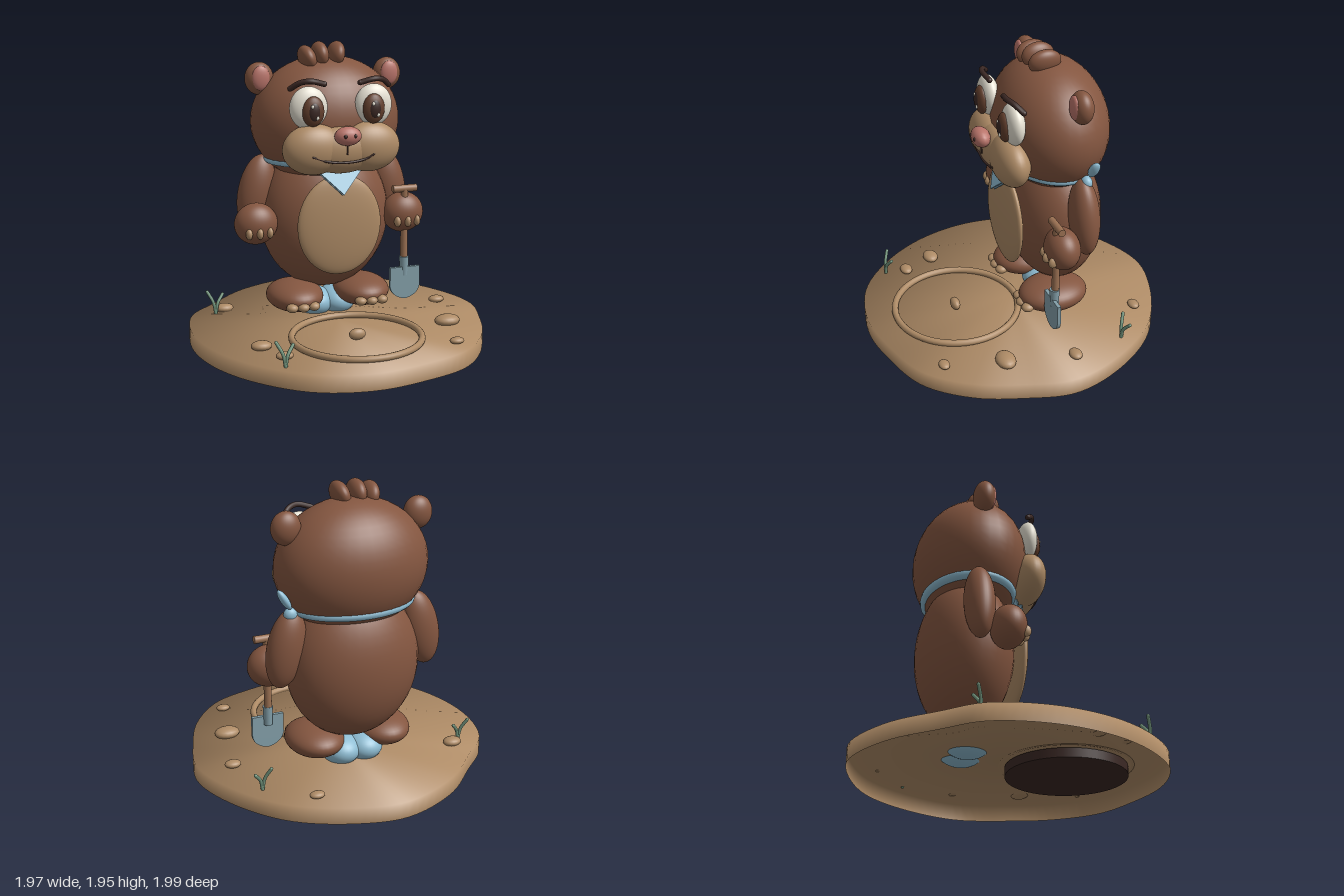
import * as THREE from 'three';

const paint = (name, color) => {
  const m = new THREE.MeshStandardMaterial({ color });
  m.name = name;
  return m;
};

export function createModel() {
  const fur = paint('brown fur', 0x845640);
  const tan = paint('sandy tan', 0xae8b66);
  const pink = paint('soft pink', 0xb9746a);
  const cream = paint('eye cream', 0xe6e1d3);
  const hazel = paint('iris brown', 0x633f2d);
  const dark = paint('dark brown', 0x3b2824);
  const blue = paint('cloth blue', 0x8fbdd3);
  const metal = paint('blade grey', 0x84a0aa);
  const green = paint('grass green', 0x74977f);
  const wood = paint('handle wood', 0x9a7052);
  tan.side = blue.side = THREE.DoubleSide;

  const model = new THREE.Group();
  model.name = 'bearOnMound';
  const ground = new THREE.Group();
  ground.name = 'ground';
  const bear = new THREE.Group();
  bear.name = 'bear';
  bear.position.x = -0.006;
  const shovel = new THREE.Group();
  shovel.name = 'shovel';
  model.add(ground, bear, shovel);

  const add = (parent, name, geometry, material, pos = [0, 0, 0], rot = [0, 0, 0]) => {
    const m = new THREE.Mesh(geometry, material);
    m.name = name;
    m.position.set(...pos);
    m.rotation.set(...rot);
    parent.add(m);
    return m;
  };
  const big = new THREE.SphereGeometry(1, 36, 24);
  const small = new THREE.SphereGeometry(1, 18, 12);
  const ball = (parent, name, material, pos, size, rot) => {
    const m = add(parent, name, Math.max(...size) > 0.1 ? big : small, material, pos, rot);
    m.scale.set(...size);
    return m;
  };
  const tube = (parent, name, material, points, r) => {
    const path = new THREE.CatmullRomCurve3(points.map(p => new THREE.Vector3(...p)));
    add(parent, name, new THREE.TubeGeometry(path, 20, r, 10), material);
    for (const p of [points[0], points[points.length - 1]]) ball(parent, name + 'End', material, p, [r, r, r]);
  };

  // Ground: irregular shell, open underneath, with a softly rounded rim
  const outline = new THREE.CatmullRomCurve3([
    [-0.07, -1], [0.24, -0.95], [0.62, -0.75], [0.88, -0.4], [0.985, -0.05], [0.91, 0.27],
    [0.79, 0.56], [0.56, 0.82], [0.24, 0.94], [-0.1, 0.99], [-0.45, 0.9], [-0.74, 0.64],
    [-0.92, 0.32], [-0.985, -0.05], [-0.91, -0.4], [-0.71, -0.61], [-0.45, -0.85],
  ].map(([x, z]) => new THREE.Vector3(x, 0, z)), true);
  const top = 0.11, n = 96;
  const pos = [0, top, 0], nor = [0, 1, 0], idx = [];
  for (let i = 0; i < n; i++) {
    const p = outline.getPoint(i / n), t = outline.getTangent(i / n);
    const out = [t.z, -t.x];
    pos.push(p.x, top, p.z, p.x, 0, p.z);
    nor.push(out[0] * 0.707, 0.707, out[1] * 0.707, out[0], 0, out[1]);
    const a = 1 + 2 * i, b = 1 + 2 * ((i + 1) % n);
    idx.push(0, b, a, a, b, b + 1, a, b + 1, a + 1);
  }
  const mound = new THREE.BufferGeometry();
  mound.setAttribute('position', new THREE.Float32BufferAttribute(pos, 3));
  mound.setAttribute('normal', new THREE.Float32BufferAttribute(nor, 3));
  mound.setIndex(idx);
  add(ground, 'mound', mound, tan);

  // Burrow: earth rim with a dark pit below the surface
  add(ground, 'burrowRim', new THREE.TorusGeometry(0.417, 0.022, 12, 64), tan, [-0.01, 0.128, 0.39], [Math.PI / 2, 0, 0]);
  add(ground, 'burrowPit', new THREE.CylinderGeometry(0.39, 0.39, 0.06, 48), dark, [-0.01, 0.07, 0.39]);

  // Pebbles: x, z, half width, half depth
  for (const [x, z, w, d] of [
    [-0.68, -0.43, 0.063, 0.05], [0.425, -0.73, 0.05, 0.037], [0.77, -0.145, 0.055, 0.042],
    [0.66, 0.295, 0.087, 0.065], [0.56, 0.675, 0.048, 0.036], [-0.635, 0.37, 0.068, 0.052],
    [-0.545, 0.58, 0.056, 0.042],
  ]) ball(ground, 'pebble', tan, [x, 0.13, z], [w, d * 0.6, d]);
  ball(ground, 'burrowPebble', tan, [-0.01, 0.145, 0.4], [0.056, 0.038, 0.032]);

  // Grass tufts
  for (const [x, z] of [[-0.75, -0.4], [0.7, -0.52], [-0.58, 0.705]]) {
    tube(ground, 'grassBlade', green, [[x, 0.11, z + 0.015], [x - 0.015, 0.19, z + 0.01], [x - 0.05, 0.26, z - 0.015]], 0.011);
    tube(ground, 'grassBlade', green, [[x, 0.11, z + 0.015], [x + 0.015, 0.18, z + 0.01], [x + 0.055, 0.235, z - 0.015]], 0.011);
  }

  // Body and head
  ball(bear, 'body', fur, [0, 0.78, -0.29], [0.445, 0.505, 0.31]);
  ball(bear, 'belly', tan, [0, 0.775, 0.035], [0.287, 0.335, 0.055]);
  ball(bear, 'head', fur, [0, 1.43, -0.265], [0.505, 0.425, 0.365]);
  ball(bear, 'muzzle', tan, [0, 1.285, 0.08], [0.26, 0.155, 0.11]);
  ball(bear, 'nose', pink, [0, 1.392, 0.2], [0.09, 0.062, 0.06]);
  tube(bear, 'philtrum', dark, [[0, 1.34, 0.195], [0, 1.31, 0.196], [0, 1.275, 0.194]], 0.006);
  tube(bear, 'mouth', dark, [[-0.225, 1.265, 0.183], [-0.12, 1.228, 0.176], [0, 1.217, 0.182], [0.12, 1.23, 0.176], [0.18, 1.262, 0.185]], 0.008);
  [[-0.14, 1.845, 0.3], [-0.055, 1.865, 0.05], [0.055, 1.865, -0.25]].forEach(([x, y, tilt]) =>
    ball(bear, 'hairTuft', fur, [x, y, -0.21], [0.055, 0.085, 0.108], [0, 0, tilt]));

  for (const s of [-1, 1]) {
    // Face
    ball(bear, 'cheek', tan, [s * 0.185, 1.295, 0.075], [0.21, 0.165, 0.117]);
    ball(bear, 'nostril', dark, [s * 0.033, 1.398, 0.253], [0.011, 0.013, 0.008]);
    ball(bear, 'eyeball', cream, [s * 0.218, 1.562, 0.065], [0.125, 0.137, 0.065]);
    ball(bear, 'iris', hazel, [s * 0.203, 1.545, 0.117], [0.074, 0.097, 0.042]);
    ball(bear, 'pupil', dark, [s * 0.203, 1.545, 0.142], [0.042, 0.062, 0.022]);
    ball(bear, 'glint', cream, [s * 0.203 + 0.018, 1.508, 0.156], [0.01, 0.014, 0.008]);
    ball(bear, 'glint', cream, [s * 0.203 - 0.015, 1.58, 0.156], [0.01, 0.013, 0.008]);
    tube(bear, 'brow', dark, [[s * 0.33, 1.685, 0.04], [s * 0.275, 1.725, 0.08], [s * 0.21, 1.735, 0.105], [s * 0.12, 1.712, 0.09]], 0.018);
    // Ears
    ball(bear, 'ear', fur, [s * 0.443, 1.715, -0.29], [0.096, 0.107, 0.07]);
    ball(bear, 'innerEar', pink, [s * 0.443, 1.722, -0.24], [0.06, 0.08, 0.026]);
    // Arms, hands and claws
    ball(bear, 'arm', fur, [s * 0.465, 0.95, -0.32], [0.125, 0.26, 0.097], [0, 0, s * 0.2]);
    ball(bear, 'hand', fur, [s * 0.515, 0.78, -0.15], [0.145, 0.138, 0.113]);
    for (const c of [-1, 0, 1])
      ball(bear, 'handClaw', tan, [s * 0.515 + c * 0.07, 0.735, -0.045 - Math.abs(c) * 0.012], [0.022, 0.037, 0.03]);
    // Feet and claws
    ball(bear, 'foot', fur, [s * 0.236, 0.248, -0.215], [0.19, 0.103, 0.235]);
    for (const c of [-1, 0, 1])
      ball(bear, 'footClaw', tan, [s * 0.24 + c * 0.075, 0.222, 0.008 - Math.abs(c) * 0.01], [0.04, 0.03, 0.043]);
    // Blue cloth under the body
    ball(bear, 'clothSeat', blue, [s * 0.08, 0.17, -0.28], [0.13, 0.1, 0.15]);
  }

  // Neckerchief: band, two front flaps, knot ends on the left shoulder
  const band = add(bear, 'neckBand', new THREE.TorusGeometry(1, 0.1, 12, 64), blue, [0, 1.185, -0.268], [Math.PI / 2, 0, 0]);
  band.scale.set(0.383, 0.278, 0.32);
  const flap = (w, h, p) => {
    const shape = new THREE.Shape([[-w, 0], [0, -h], [w, 0]].map(a => new THREE.Vector2(...a)));
    add(bear, 'neckFlap', new THREE.ExtrudeGeometry(shape, { depth: 0.009, bevelEnabled: false }), blue, p, [-0.5, 0, 0]);
  };
  flap(0.185, 0.21, [0, 1.168, 0.005]);
  flap(0.155, 0.175, [0, 1.145, 0.045]);
  ball(bear, 'knotEnd', blue, [0.488, 1.29, -0.365], [0.026, 0.077, 0.037], [0, 0, -0.55]);
  ball(bear, 'knot', blue, [0.44, 1.18, -0.34], [0.045, 0.045, 0.037]);

  // Shovel: cross grip, shaft, socket and rounded blade
  shovel.position.set(0.508, 0, -0.11);
  add(shovel, 'shaft', new THREE.CylinderGeometry(0.025, 0.025, 0.52, 20), wood, [0, 0.69, 0]);
  add(shovel, 'grip', new THREE.CylinderGeometry(0.025, 0.025, 0.17, 20), wood, [0, 0.95, 0], [0, 0, Math.PI / 2]);
  add(shovel, 'socket', new THREE.CylinderGeometry(0.033, 0.028, 0.13, 20), metal, [0, 0.41, 0.005]);
  const blade = new THREE.Shape();
  blade.moveTo(-0.108, 0.405);
  blade.lineTo(-0.108, 0.27);
  blade.bezierCurveTo(-0.1, 0.21, -0.04, 0.185, 0, 0.18);
  blade.bezierCurveTo(0.04, 0.185, 0.1, 0.21, 0.108, 0.27);
  blade.lineTo(0.108, 0.405);
  add(shovel, 'blade', new THREE.ExtrudeGeometry(blade, { depth: 0.024, bevelEnabled: false }), metal, [0, 0, 0.005]);

  return model;
}
